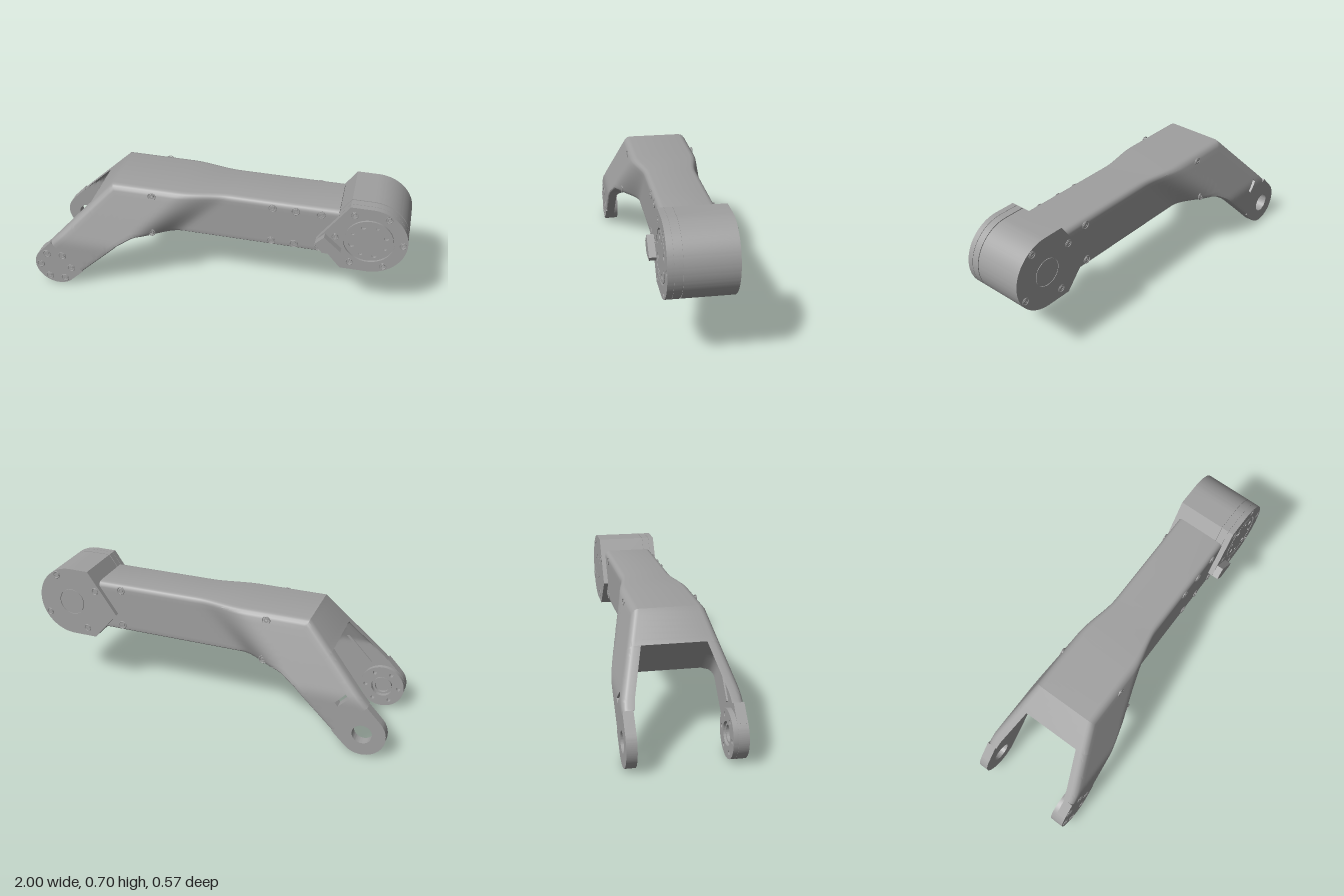
import * as THREE from 'three';
import { toCreasedNormals } from 'three/addons/utils/BufferGeometryUtils.js';

const grey = new THREE.MeshStandardMaterial({ color: 0xa0a0a0, side: THREE.DoubleSide });
grey.name = 'machinedGrey';

// Rib positions through the wall height, denser near the rounded edges
const V = [0, 0.01, 0.03, 0.07, 0.11, 0.2, 0.3, 0.4, 0.5, 0.6, 0.7, 0.8, 0.89, 0.93, 0.97, 0.99, 1];
const N = V.length - 1;
const MOTOR = [0.803, 0.508];
const TIP = [-0.88, 0.12];

// Half-width of the link: wide sloping fork cheeks easing into the narrow beam
function halfWidth(x, y) {
  const h = Math.max(0, y - 0.27);
  const cheek = 0.283 - 0.32 * (h < 0.06 ? (h * h) / 0.12 : h - 0.03);
  const start = -0.5 + (y - 0.33);
  return 0.138 + (cheek - 0.138) * (1 - THREE.MathUtils.smoothstep(x, start, start + 0.27));
}

const edgeRound = (d, r) => (d < r ? r - Math.sqrt(r * r - (r - d) * (r - d)) : 0);

// Subdivide [topX, topY, bottomX, bottomY] ribs
function ribs(keys, counts) {
  const out = [keys[0]];
  for (let i = 1; i < keys.length; i++)
    for (let s = 1; s <= counts[i - 1]; s++)
      out.push(keys[i].map((b, c) => THREE.MathUtils.lerp(keys[i - 1][c], b, s / counts[i - 1])));
  return out;
}

// Skin closed sections along the ribs; depth() gives the front and back z of a point
function loft(stations, depth, isSlot = () => false) {
  const rings = stations.map((s, i) => {
    const length = Math.hypot(s[0] - s[2], s[1] - s[3]);
    const front = [], back = [];
    V.forEach((v) => {
      const x = THREE.MathUtils.lerp(s[2], s[0], v), y = THREE.MathUtils.lerp(s[3], s[1], v);
      const cut = edgeRound((1 - v) * length, 0.028) + edgeRound(v * length, 0.015);
      const [a, b] = depth(halfWidth(x, y) - cut, i / (stations.length - 1));
      front.push([x, y, a]);
      back.unshift([x, y, b]);
    });
    return front.concat(back);
  });
  const pos = [], M = 2 * N + 2;
  const quad = (a, b, c, d) => pos.push(...a, ...b, ...c, ...a, ...c, ...d);
  for (let i = 0; i < rings.length - 1; i++) {
    const p = rings[i], q = rings[i + 1];
    for (let k = 0; k < M; k++) {
      const j = k > N ? M - 2 - k : k, n = (k + 1) % M;
      if (k !== N && k !== M - 1 && isSlot(i, j)) {
        // walls of the slot cut through the plate
        if (k > N) continue;
        const f = M - 1 - k, g = f - 1;
        if (!isSlot(i - 1, j)) quad(p[k], p[n], p[g], p[f]);
        if (!isSlot(i + 1, j)) quad(q[n], q[k], q[f], q[g]);
        if (!isSlot(i, j - 1)) quad(q[k], p[k], p[f], q[f]);
        if (!isSlot(i, j + 1)) quad(p[n], q[n], q[g], p[g]);
      } else quad(p[k], q[k], q[n], p[n]);
    }
  }
  const first = rings[0], last = rings[rings.length - 1];
  for (let j = 0; j < N; j++) {
    const f = M - 1 - j;
    quad(first[j], first[j + 1], first[f - 1], first[f]);
    quad(last[j + 1], last[j], last[f], last[f - 1]);
  }
  const g = new THREE.BufferGeometry();
  g.setAttribute('position', new THREE.Float32BufferAttribute(pos, 3));
  return toCreasedNormals(g, 0.5);
}

function circle(cx, cy, r, Type = THREE.Path) {
  const p = new Type();
  p.absarc(cx, cy, r, 0, Math.PI * 2, false);
  return p;
}

function slab(shape, z0, z1) {
  const g = new THREE.ExtrudeGeometry(shape, { depth: z1 - z0, bevelEnabled: false, curveSegments: 40 });
  g.translate(0, 0, z0);
  return toCreasedNormals(g, 0.5);
}

const around = (c, r, n, phase = 0) => Array.from({ length: n }, (_, i) => {
  const a = phase + (i * 2 * Math.PI) / n;
  return [c[0] + r * Math.cos(a), c[1] + r * Math.sin(a)];
});

// Outline of the motor housing: round on one side, pointed toward the beam
function housingShape(grow = 0) {
  const s = new THREE.Shape(), r = 0.195 + grow;
  s.moveTo(0.695 - grow, MOTOR[1] + r);
  s.lineTo(0.535 - grow, 0.47);
  s.lineTo(0.67 - grow, MOTOR[1] - r);
  s.lineTo(MOTOR[0], MOTOR[1] - r);
  s.absarc(MOTOR[0], MOTOR[1], r, -Math.PI / 2, Math.PI / 2, false);
  s.closePath();
  return s;
}

// Rounded fork tip plate
function tipShape() {
  const s = new THREE.Shape();
  s.moveTo(-0.895, 0.279);
  s.lineTo(-0.965, 0.205);
  s.absarc(TIP[0], TIP[1], 0.12, Math.PI * 0.75, Math.PI * 1.75, false);
  s.lineTo(-0.725, 0.105);
  s.closePath();
  return s;
}

export function createModel() {
  const root = new THREE.Group();
  const add = (name, geometry) => {
    const m = new THREE.Mesh(geometry, grey);
    m.name = name;
    root.add(m);
    return m;
  };

  // Socket screw: head with hexagonal recess inside a thin rim
  const headShape = circle(0, 0, 0.013, THREE.Shape);
  headShape.holes.push(new THREE.Path(around([0, 0], 0.007, 6).map((p) => new THREE.Vector2(...p))));
  const headGeo = slab(headShape, -0.006, 0.002);
  const rimGeo = new THREE.TorusGeometry(0.02, 0.003, 6, 24);
  const screw = (name, [x, y], z, scale = 1) => {
    const g = new THREE.Group();
    g.name = name;
    g.add(new THREE.Mesh(headGeo, grey), new THREE.Mesh(rimGeo, grey));
    g.position.set(x, y, z);
    g.scale.set(scale, scale, 1);
    if (z < 0) g.rotation.y = Math.PI;
    root.add(g);
  };

  // Beam with the flared shoulder
  const crotch = [-0.68, 0.507, -0.515, 0.31];
  const beamRibs = ribs([crotch, [-0.55, 0.645, -0.44, 0.36], [-0.5, 0.645, -0.41, 0.371],
    [-0.2, 0.645, -0.2, 0.375], [0.1, 0.645, 0.1, 0.375], [0.64, 0.645, 0.64, 0.375]], [6, 4, 14, 12, 2]);
  add('beam', loft(beamRibs, (w) => [w, -w]));

  // Fork arms, filleted where they meet the beam
  const armRibs = ribs([[-0.895, 0.279, -0.725, 0.105], crotch], [24]);
  const inner = (u) => 0.232 - edgeRound((1 - u) * 0.3, 0.06);
  add('frontForkArm', loft(armRibs, (w, u) => [w, Math.min(inner(u), w - 0.03)]));
  add('rearForkArm', loft(armRibs, (w, u) => [-Math.min(inner(u), w - 0.03), -w],
    (i, j) => (i === 7 || i === 8) && j >= 8 && j <= 10));

  // Fork tips: solid with bearing boss in front, open hole behind
  add('frontForkTip', slab(tipShape(), 0.232, 0.283));
  const rearTip = tipShape();
  rearTip.holes.push(circle(...TIP, 0.052));
  add('rearForkTip', slab(rearTip, -0.283, -0.232));
  const boss = circle(...TIP, 0.119, THREE.Shape);
  boss.holes.push(circle(...TIP, 0.058), ...around(TIP, 0.09, 6).map((p) => circle(...p, 0.011)));
  add('bearingBoss', slab(boss, 0.208, 0.234));
  const collar = circle(...TIP, 0.05, THREE.Shape);
  collar.holes.push(circle(...TIP, 0.04));
  add('bearingCollar', slab(collar, 0.217, 0.234));
  around(TIP, 0.09, 6).forEach((p) => screw('forkScrew', p, 0.283));

  // Slim stiffener inside the front arm
  const rib = add('armStiffener', new THREE.BoxGeometry(0.2, 0.012, 0.012));
  rib.position.set(-0.735, 0.32, 0.23);
  rib.rotation.z = 0.81;

  // Motor housing stacked with fine seams
  const back = housingShape();
  back.holes.push(circle(...MOTOR, 0.074));
  add('motorBackCover', slab(back, -0.163, -0.155));
  add('motorBackDisc', slab(circle(...MOTOR, 0.071, THREE.Shape), -0.163, -0.155));
  add('motorBody', slab(housingShape(), -0.155, 0.093));
  add('motorSeam', slab(housingShape(-0.004), 0.093, 0.098));
  add('motorFrontBody', slab(housingShape(), 0.098, 0.134));
  add('motorCoverSeam', slab(housingShape(-0.003), 0.134, 0.136));
  add('motorFrontBase', slab(housingShape(), 0.136, 0.155));
  const front = housingShape();
  const coverScrews = around(MOTOR, 0.171, 6);
  front.holes.push(circle(...MOTOR, 0.131), ...coverScrews.map((p) => circle(...p, 0.018)));
  add('motorFrontCover', slab(front, 0.155, 0.165));
  coverScrews.forEach((p) => screw('coverScrew', p, 0.163, 0.9));

  // Output flange with its bolt circle
  const flange = circle(...MOTOR, 0.123, THREE.Shape);
  around(MOTOR, 0.092, 8, Math.PI / 8).forEach((p, i) => flange.holes.push(circle(...p, i % 2 ? 0.009 : 0.014)));
  add('outputFlange', slab(flange, 0.155, 0.165));

  // Screws on the back cover
  around(MOTOR, 0.17, 4, Math.PI / 3).forEach((p) => screw('backScrew', p, -0.163, 0.9));

  // Cable connector at the housing point
  const plug = new THREE.Shape([[0.535, 0.47], [0.575, 0.42], [0.66, 0.42], [0.67, 0.44], [0.58, 0.52]]
    .map((p) => new THREE.Vector2(...p)));
  add('cableConnector', slab(plug, 0.16, 0.2));

  // Side screws along the beam
  for (const y of [0.612, 0.405]) {
    for (const x of [0.3, 0.42, 0.55]) {
      screw('beamScrew', [x, y], 0.139);
      if (x > 0.5) screw('beamScrew', [x - 0.04, y], -0.139);
    }
    const z = halfWidth(-0.33, y);
    screw('shoulderScrew', [-0.33, y], z + 0.002);
    screw('shoulderScrew', [-0.33, y], -z - 0.002);
  }
  return root;
}
